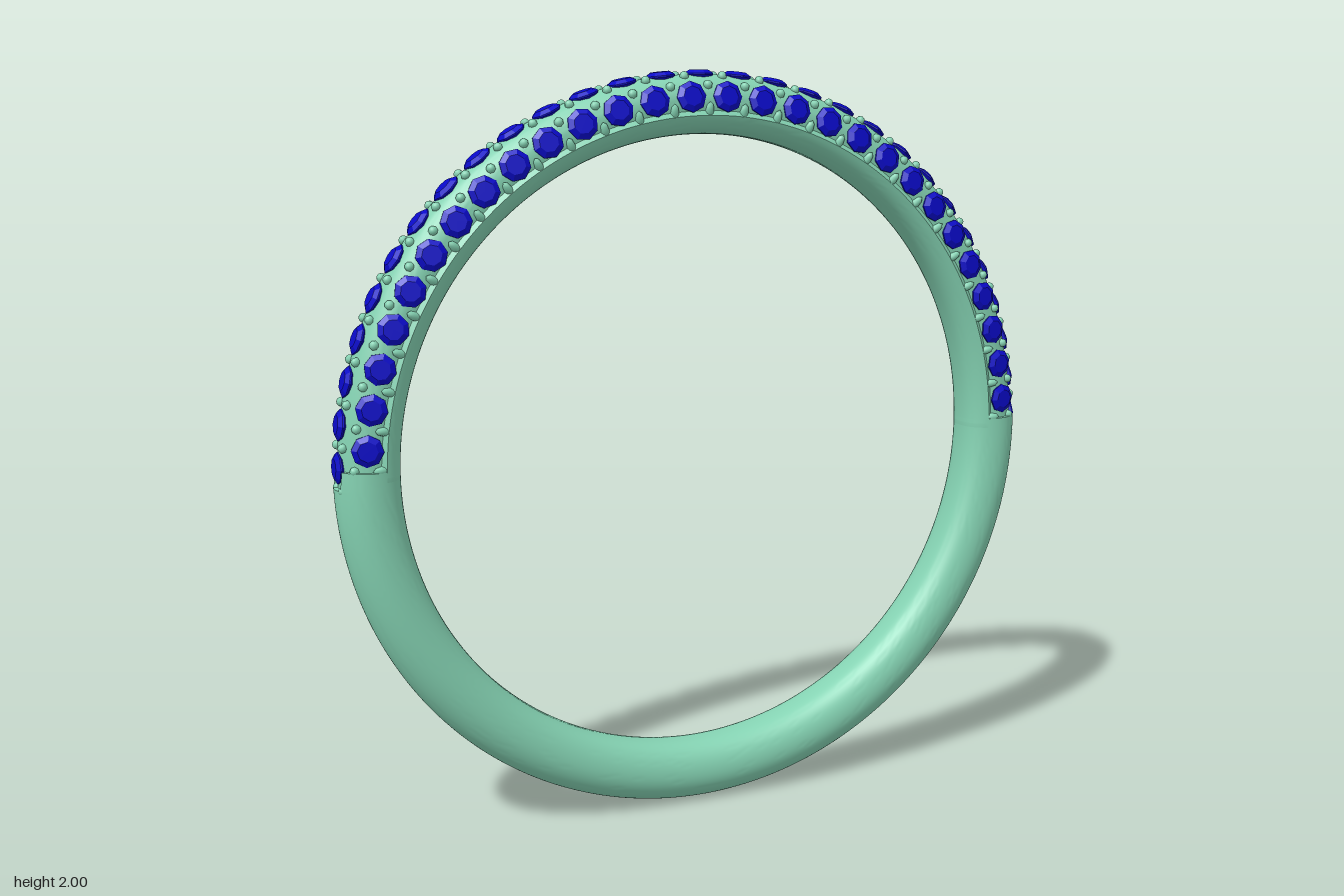
import * as THREE from 'three';
import { mergeGeometries, toCreasedNormals } from 'three/addons/utils/BufferGeometryUtils.js';

const R = 0.917, TUBE = 0.083, SUNK = 0.071; // ring radius, band thickness, recessed seat
const STEP = 0.1105;                         // angle between neighbouring stones
const deg = THREE.MathUtils.degToRad;

// Point on the band: a runs around the ring, t around its cross-section (0 = outward)
function bandPoint(a, t, rho) {
  const c = Math.cos(t), s = Math.sin(t);
  const r = R + rho * c;
  const z = rho * Math.sign(s) * Math.abs(s) ** (c < 0 ? 0.75 : 1); // flatter inside
  return [r * Math.cos(a), 1 + r * Math.sin(a), z];
}

// Closed-section strip; at(u, t) returns [ring angle, section radius] for each row u
function strip(rows, at) {
  const n = 60, pos = [], index = [];
  rows.forEach((u) => {
    for (let j = 0; j < n; j++) {
      const t = (j / n) * Math.PI * 2;
      pos.push(...bandPoint(at(u, t)[0], t, at(u, t)[1]));
    }
  });
  for (let i = 0; i < rows.length - 1; i++) {
    for (let j = 0; j < n; j++) {
      const k = (j + 1) % n;
      const a = i * n + j, b = a + n, c = (i + 1) * n + k, d = i * n + k;
      index.push(a, b, c, a, c, d);
    }
  }
  const g = new THREE.BufferGeometry();
  g.setAttribute('position', new THREE.Float32BufferAttribute(pos, 3));
  g.setIndex(index);
  return toCreasedNormals(g, deg(35));
}

// Matrix that stands a part on the band: x along the ring, y outward
function seat(a, t, rho) {
  const tangent = new THREE.Vector3(-Math.sin(a), Math.cos(a), 0);
  const normal = new THREE.Vector3(Math.cos(a) * Math.cos(t), Math.sin(a) * Math.cos(t), Math.sin(t));
  const side = new THREE.Vector3().crossVectors(tangent, normal);
  const r = R + rho * Math.cos(t);
  return new THREE.Matrix4().makeBasis(tangent, normal, side)
    .setPosition(r * Math.cos(a), 1 + r * Math.sin(a), rho * Math.sin(t));
}

// Copies a part along one row, centred on the top of the ring
function row(geometry, count, tDeg, rho) {
  return Array.from({ length: count }, (_, i) => {
    const a = Math.PI / 2 + (i - (count - 1) / 2) * STEP;
    return geometry.clone().applyMatrix4(seat(a, deg(tDeg), rho));
  });
}

export function createModel() {
  const group = new THREE.Group();
  const metal = new THREE.MeshStandardMaterial({ color: 0x85d3b3 });
  const blue = new THREE.MeshStandardMaterial({ color: 0x0a0ac8, flatShading: true });
  const add = (name, geometry, material) => {
    const mesh = new THREE.Mesh(geometry, material);
    mesh.name = name;
    group.add(mesh);
  };
  const range = Array.from({ length: 121 }, (_, i) => i / 120);

  // Plain lower half, its ends stepped lower under the middle row of stones
  const endAngle = (t) => (Math.cos(t) > Math.cos(deg(29)) ? -0.03 : 0.02);
  add('plainBand', strip([-1, ...range, 2], (u, t) => {
    const e = endAngle(t), v = Math.min(1, Math.max(0, u));
    return [Math.PI - e + v * (Math.PI + 2 * e), u < 0 || u > 1 ? SUNK * 0.9 : TUBE];
  }), metal);

  // Upper half, recessed where the stones sit
  add('stoneSeatBand', strip(range, (u, t) => [
    -0.04 + u * (Math.PI + 0.08),
    Math.cos(t) > Math.cos(deg(111)) ? SUNK : TUBE - (u === 0 || u === 1 ? 0.004 : 0),
  ]), metal);

  // Faceted round stone: pointed below, flat table above
  const stone = new THREE.LatheGeometry(
    [[0, -0.03], [0.041, -0.001], [0.041, 0.003], [0.026, 0.012], [0, 0.012]]
      .map(([x, y]) => new THREE.Vector2(x, y)), 8);
  add('middleStones', mergeGeometries(row(stone, 29, 0, 0.0705)), blue);
  add('frontStones', mergeGeometries(row(stone, 28, 78, 0.0705)), blue);
  add('backStones', mergeGeometries(row(stone, 28, -78, 0.0705)), blue);

  // Small holding beads between the stones, and longer claws on the inner edges
  const bead = new THREE.SphereGeometry(0.0125, 8, 6);
  const claw = new THREE.SphereGeometry(0.0115, 8, 6).scale(1, 1, 2);
  const beads = [], claws = [];
  for (const s of [1, -1]) {
    beads.push(...row(bead, 30, 23 * s, 0.073), ...row(bead, 29, 53 * s, 0.073));
    claws.push(...row(claw, 29, 107 * s, 0.073));
  }
  add('beads', mergeGeometries(beads), metal);
  add('innerClaws', mergeGeometries(claws), metal);

  return group;
}
